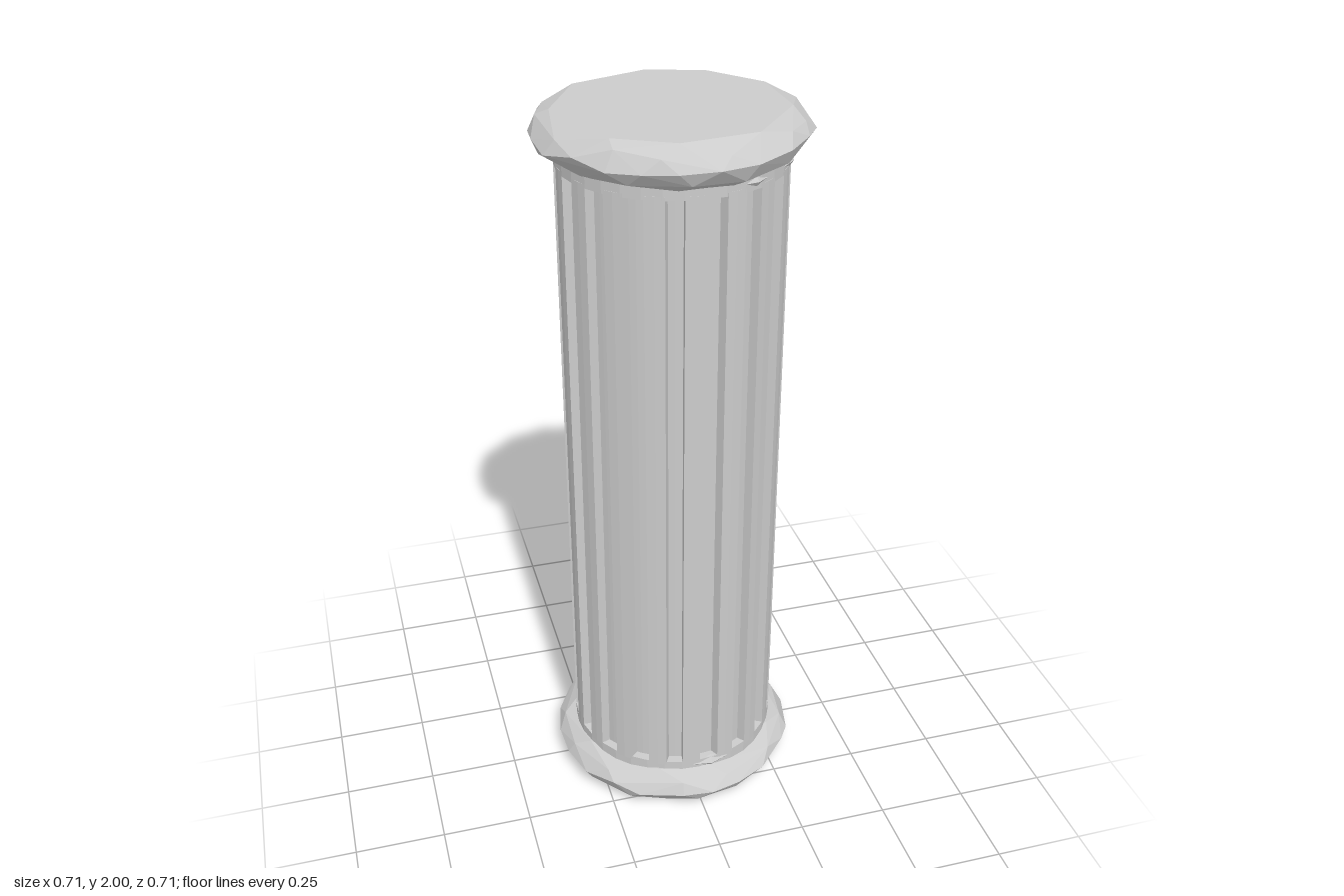
import * as THREE from 'three';
import { ConvexGeometry } from 'three/addons/geometries/ConvexGeometry.js';

const stone = new THREE.MeshStandardMaterial({ color: 0xcccccc, flatShading: true });
const FLUTES = 18, R = 0.295, DEPTH = 0.025;

// small seeded generator, returns -1..1
function seeded(seed) {
  return () => {
    seed = (seed * 16807) % 2147483647;
    return (seed / 2147483647) * 2 - 1;
  };
}

function add(group, name, geometry, y = 0) {
  const mesh = new THREE.Mesh(geometry, stone);
  mesh.name = name;
  mesh.position.y = y;
  group.add(mesh);
  return mesh;
}

// rough-hewn disc: convex hull around jittered rings [height, radius, points, jitter]
function slabGeometry(seed) {
  const rnd = seeded(seed);
  const rings = [
    [0, 0.295, 9, 0], [0.025, 0.333, 13, 0.008], [0.06, 0.353, 22, 0.014],
    [0.093, 0.333, 13, 0.008], [0.115, 0.298, 9, 0],
  ];
  const points = [];
  for (const [y, r, n, jitter] of rings) {
    const start = rnd();
    for (let i = 0; i < n; i++) {
      const a = start + ((i + rnd() * 0.25) / n) * Math.PI * 2;
      const rr = r + rnd() * 0.004;
      points.push(new THREE.Vector3(Math.cos(a) * rr, y + rnd() * jitter, Math.sin(a) * rr));
    }
  }
  return new ConvexGeometry(points);
}

// fluted outline: two-faceted ridges alternating with sunken channels
function flutedGeometry(height) {
  const rnd = seeded(71);
  const shape = new THREE.Shape();
  const step = (Math.PI * 2) / FLUTES;
  const corners = [[0.02, R], [0.27, R], [0.52, R], [0.57, R - DEPTH], [0.76, R - DEPTH], [0.97, R - DEPTH]];
  for (let i = 0; i < FLUTES; i++) {
    const wobble = rnd() * 0.04;
    corners.forEach(([t, r], k) => {
      const a = (i + t + wobble) * step;
      const x = Math.cos(a) * r, y = Math.sin(a) * r;
      if (i + k === 0) shape.moveTo(x, y);
      else shape.lineTo(x, y);
    });
  }
  shape.closePath();
  const geometry = new THREE.ExtrudeGeometry(shape, { depth: height, bevelEnabled: false });
  return geometry.rotateX(-Math.PI / 2);
}

export function createModel() {
  const column = new THREE.Group();
  column.name = 'column';

  // worn base and capital slabs
  add(column, 'baseSlab', slabGeometry(1234), 0);
  add(column, 'capitalSlab', slabGeometry(98765), 1.885);

  // fluted shaft between two plain collars
  add(column, 'flutedShaft', flutedGeometry(1.74), 0.13);
  const collar = new THREE.CylinderGeometry(R, R, 0.06, FLUTES * 2);
  add(column, 'lowerCollar', collar, 0.11);
  add(column, 'upperCollar', collar, 1.89);

  // broken chips lying against the collars: [angle, height, size]
  const chips = [[1.45, 0.125, 0.03], [0.5, 1.88, 0.03], [1.1, 1.88, 0.025], [-0.35, 0.125, 0.025]];
  for (const [a, y, s] of chips) {
    const chip = add(column, 'chip', new THREE.OctahedronGeometry(s), y);
    chip.position.x = Math.cos(a) * (R - 0.005);
    chip.position.z = Math.sin(a) * (R - 0.005);
    chip.rotation.y = -a;
    chip.scale.set(0.5, 0.7, 1.8);
  }
  return column;
}
